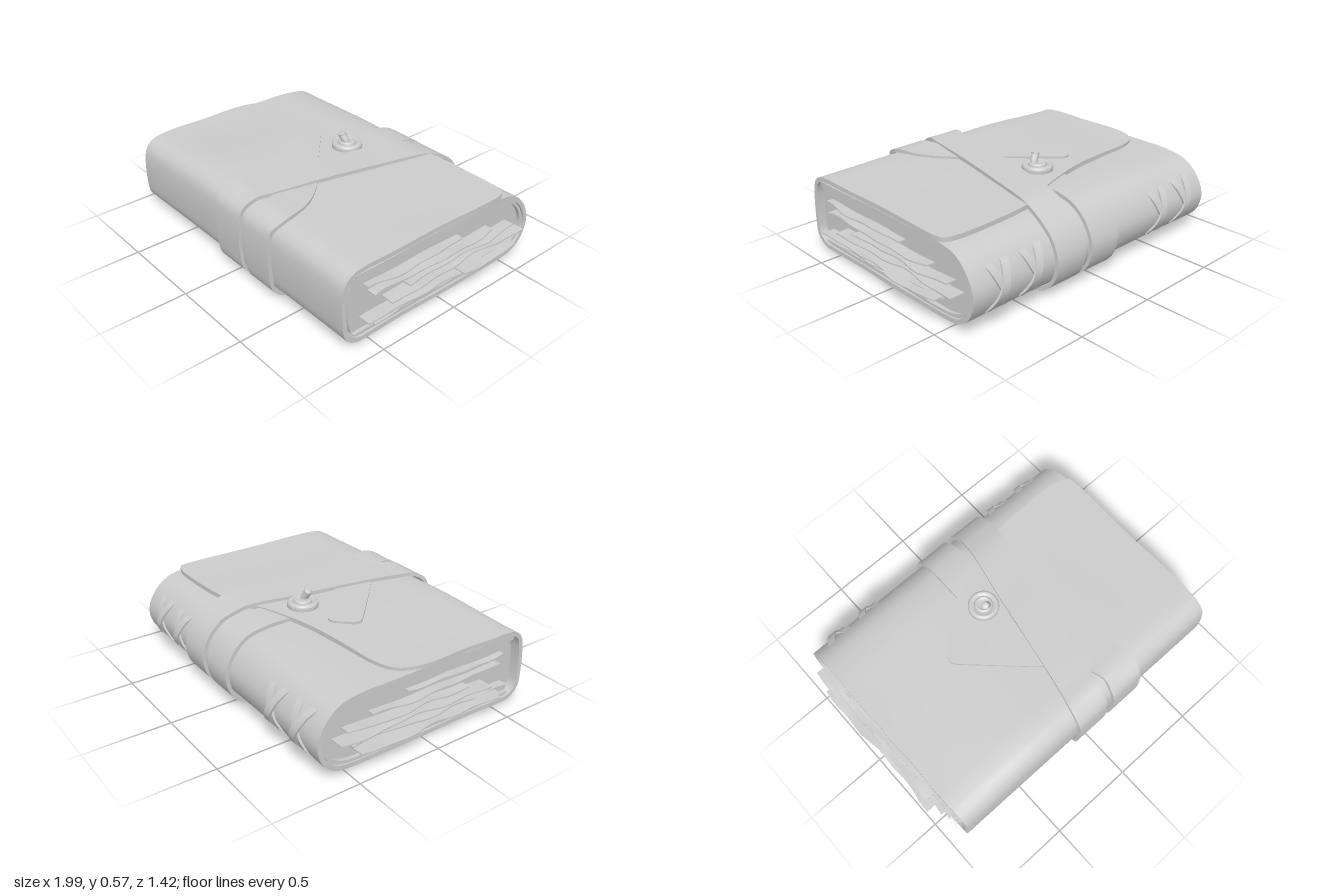
import * as THREE from 'three';
import { toCreasedNormals } from 'three/addons/utils/BufferGeometryUtils.js';

const V = (x, y, z) => new THREE.Vector3(x, y, z);
const { lerp, smoothstep } = THREE.MathUtils;
const material = new THREE.MeshStandardMaterial({ color: 0xcccccc });

function add(parent, name, geometry) {
  const mesh = new THREE.Mesh(geometry, material);
  mesh.name = name;
  parent.add(mesh);
  return mesh;
}

// Thickened sheet: f(u, v) gives its middle surface, thickness is added along the normal
function slab(f, nu, nv, thickness) {
  const grid = [], pos = [], idx = [], count = (nu + 1) * (nv + 1);
  const id = (i, j) => i * (nv + 1) + j;
  for (let i = 0; i <= nu; i++) for (let j = 0; j <= nv; j++) grid.push(f(i / nu, j / nv));
  for (const side of [1, -1]) {
    for (let i = 0; i <= nu; i++) for (let j = 0; j <= nv; j++) {
      const du = grid[id(Math.min(i + 1, nu), j)].clone().sub(grid[id(Math.max(i - 1, 0), j)]);
      const dv = grid[id(i, Math.min(j + 1, nv))].clone().sub(grid[id(i, Math.max(j - 1, 0))]);
      const n = dv.cross(du).normalize();
      pos.push(...grid[id(i, j)].clone().addScaledVector(n, side * thickness / 2).toArray());
    }
  }
  const quad = (a, b, c, d) => idx.push(a, b, c, a, c, d);
  const rim = (a, b) => quad(a, b, b + count, a + count);
  for (let i = 0; i < nu; i++) {
    for (let j = 0; j < nv; j++) {
      const a = id(i, j), b = id(i + 1, j), c = id(i + 1, j + 1), d = id(i, j + 1);
      quad(a, d, c, b);
      quad(a + count, b + count, c + count, d + count);
    }
    rim(id(i, 0), id(i + 1, 0));
    rim(id(i + 1, nv), id(i, nv));
  }
  for (let j = 0; j < nv; j++) {
    rim(id(0, j + 1), id(0, j));
    rim(id(nu, j), id(nu, j + 1));
  }
  const g = new THREE.BufferGeometry();
  g.setAttribute('position', new THREE.Float32BufferAttribute(pos, 3));
  g.setIndex(idx);
  return toCreasedNormals(g, 0.8);
}

// Smooth side profile from [z, y] pairs
function profileCurve(points) {
  const curve = new THREE.CatmullRomCurve3(points.map(([z, y]) => V(0, y, z)));
  curve.arcLengthDivisions = 600;
  return curve;
}

// Flat band following a path wrapped around the book
function band(points, halfWidth, thickness, segments) {
  const curve = new THREE.CatmullRomCurve3(points);
  curve.arcLengthDivisions = 1000;
  return slab((u, v) => {
    const t = curve.getTangentAt(u);
    const n = V(1, 0, 0).cross(V(0, t.y, t.z)).normalize();
    const w = t.clone().cross(n).normalize();
    return curve.getPointAt(u).addScaledVector(w, (v * 2 - 1) * halfWidth(u));
  }, segments, 4, thickness);
}

// Wrapped cover: top board, spine, bottom, front, then the flap with its curved edge
function coverGeometry() {
  const body = profileCurve([
    [0.6, 0.423], [0.2, 0.425], [-0.2, 0.428], [-0.42, 0.425], [-0.54, 0.4], [-0.625, 0.325],
    [-0.667, 0.22], [-0.64, 0.12], [-0.58, 0.062], [-0.48, 0.039], [0, 0.039], [0.5, 0.039],
    [0.6, 0.047], [0.653, 0.09], [0.668, 0.17], [0.668, 0.34], [0.65, 0.41], [0.6, 0.449], [0.5, 0.461],
  ]);
  const edge = new THREE.CatmullRomCurve3([
    [-0.9, 0.02], [-0.885, -0.08], [-0.84, -0.165], [-0.74, -0.212], [-0.5, -0.238], [-0.2, -0.28],
    [0.08, -0.36], [0.25, -0.44], [0.36, -0.47], [0.6, -0.483], [0.83, -0.475], [0.885, -0.45], [0.9, -0.4],
  ].map(([x, z]) => V(x, 0, z)));
  return slab((u, v) => {
    const e = edge.getPoint(v), k = 0.8;
    const p = u <= k ? body.getPointAt(u / k) : V(0, 0, lerp(0.5, e.z, (u - k) / (1 - k)));
    if (u > k) p.y = 0.461 + (p.z - 0.5) * 0.006;
    p.x = e.x + 0.004 * Math.sin(u * 40) * e.x;
    // the flap sags towards both ends, more on the right end
    const sag = 0.02 * smoothstep(-e.x, 0.25, 0.85) + 0.007 * smoothstep(e.x, 0.3, 0.7);
    p.y -= sag * (p.y / 0.46) ** 2 * (u > 0.5 ? 1 : 0.5);
    p.y += 0.002 * Math.sin(e.x * 6 + 1) * Math.cos(p.z * 5);
    return p;
  }, 130, 48, 0.026);
}

// Inner lining hugging the pages, open at the front
function liningGeometry() {
  const curve = profileCurve([
    [0.61, 0.397], [0, 0.4], [-0.42, 0.4], [-0.53, 0.378], [-0.605, 0.31], [-0.643, 0.22],
    [-0.617, 0.13], [-0.565, 0.082], [-0.48, 0.059], [0, 0.059], [0.6, 0.062],
  ]);
  return slab((u, v) => curve.getPointAt(u).setX(lerp(-0.89, 0.89, v)), 70, 6, 0.018);
}

// Strap: starts under the flap, goes round twice and ends in a diagonal tab
function strapGeometry() {
  const ring = [
    [-0.57, 0.415], [-0.655, 0.335], [-0.697, 0.22], [-0.67, 0.11], [-0.6, 0.04], [-0.48, 0.013],
    [0, 0.013], [0.5, 0.013], [0.62, 0.023], [0.68, 0.08], [0.698, 0.17], [0.698, 0.34], [0.678, 0.43],
  ];
  const loop = x => ring.map(([z, y]) => V(x, y, z));
  const points = [
    V(0, 0.447, -0.25), V(0, 0.447, -0.44), ...loop(0.005),
    V(0.02, 0.481, 0.6), V(0.05, 0.488, 0.48), V(0.115, 0.488, 0.15), V(0.175, 0.479, -0.15),
    V(0.235, 0.469, -0.42), V(0.25, 0.445, -0.505), ...loop(0.26),
    V(0.275, 0.474, 0.6), V(0.235, 0.477, 0.46), V(0.125, 0.475, 0.32), V(0, 0.473, 0.21),
    V(-0.15, 0.473, 0.07), V(-0.34, 0.47, -0.11),
  ];
  const halfWidth = u => {
    const d = Math.min((1 - u) / 0.008, 1), taper = Math.min((1 - u) / 0.1, 1);
    return (0.094 + 0.008 * taper) * (0.6 + 0.4 * Math.sqrt(1 - (1 - d) ** 2));
  };
  return band(points, halfWidth, 0.022, 420);
}

// Page block with a rounded spine
function pagesGeometry() {
  const s = new THREE.Shape();
  s.moveTo(-0.5, 0.066);
  s.lineTo(0.5, 0.066);
  s.bezierCurveTo(0.68, 0.1, 0.68, 0.35, 0.5, 0.39);
  s.lineTo(-0.6, 0.39);
  s.quadraticCurveTo(-0.655, 0.22, -0.6, 0.066);
  const g = new THREE.ExtrudeGeometry(s, { depth: 1.74, bevelEnabled: false, curveSegments: 16 });
  g.rotateY(Math.PI / 2).translate(-0.87, 0, 0);
  return toCreasedNormals(g, 0.6);
}

// Loose sheet with a slightly ragged, wavy outer edge
function sheetGeometry(side, y0, y1, z0, z1, reach, k) {
  return slab((u, v) => {
    const z = lerp(z0, z1, u), out = side > 0 ? v : 1 - v;
    const ragged = 0.01 * Math.sin(z * 8 + k * 2) + 0.005 * Math.sin(z * 23 + k);
    const x = side * lerp(0.8, reach - 0.013 + ragged, out);
    return V(x, lerp(y0, y1, u) + out * 0.006 * Math.sin(z * 15 + k * 1.7), z);
  }, 40, 3, 0.007);
}

export function createModel() {
  const model = new THREE.Group();
  model.name = 'journal';
  add(model, 'cover', coverGeometry());
  add(model, 'lining', liningGeometry());
  add(model, 'pages', pagesGeometry());
  add(model, 'strap', strapGeometry());

  // Loose sheets: front and back height, front and back z, reach at the left end and the right end
  const sheets = new THREE.Group();
  sheets.name = 'looseSheets';
  model.add(sheets);
  [
    [0.33, 0.33, 0.53, -0.13, 0.935, 0.92], [0.28, 0.283, 0.5, -0.36, 0.945, 0.93],
    [0.228, 0.25, 0.27, -0.52, 0.945, 0.945], [0.203, 0.208, 0.4, -0.58, 0.96, 0.965],
    [0.142, 0.165, 0.55, -0.49, 0.965, 0.94], [0.11, 0.105, 0.5, -0.36, 0.94, 0.945],
  ].forEach(([y0, y1, z0, z1, left, right], k) => {
    add(sheets, 'leftSheet', sheetGeometry(1, y0, y1, z0, z1, left, k));
    add(sheets, 'rightSheet', sheetGeometry(-1, y0, y1, z0, z1, right, k + 3));
  });
  add(sheets, 'longSheet', sheetGeometry(-1, 0.135, 0.14, 0.44, -0.48, 0.995, 5));
  add(sheets, 'longSheet', sheetGeometry(1, 0.16, 0.168, -0.08, -0.49, 1, 5));

  // Crossed lacing on the spine
  const lacing = new THREE.Group();
  lacing.name = 'spineLacing';
  model.add(lacing);
  const lace = [[-0.605, 0.355], [-0.652, 0.31], [-0.682, 0.25], [-0.688, 0.2], [-0.67, 0.145], [-0.635, 0.095]];
  for (const x of [-0.73, -0.505, 0.495, 0.715]) for (const dir of [1, -1]) {
    const points = lace.map(([z, y], i) => {
      const bulge = Math.sin(i / 5 * Math.PI) * (dir > 0 ? 0.011 : 0.001);
      return V(x + dir * lerp(-0.06, 0.06, i / 5), y, z - bulge);
    });
    add(lacing, 'lace', band(points, () => 0.023, 0.012, 20));
  }

  // Coiled button with a leaning knot
  const button = new THREE.Group();
  button.name = 'button';
  button.position.set(-0.03, 0.463, -0.165);
  model.add(button);
  const profile = [
    [0, 0], [0.078, 0], [0.088, 0.014], [0.086, 0.032], [0.074, 0.041], [0.06, 0.037], [0.053, 0.034],
    [0.05, 0.044], [0.04, 0.05], [0.028, 0.045], [0, 0.042],
  ].map(p => new THREE.Vector2(...p));
  add(button, 'buttonDisc', new THREE.LatheGeometry(new THREE.SplineCurve(profile).getPoints(40), 32));
  const post = new THREE.CatmullRomCurve3([V(0.016, 0.03, 0.014), V(0.008, 0.055, 0.02), V(-0.006, 0.078, 0.026), V(-0.012, 0.09, 0.028)]);
  add(button, 'buttonKnot', new THREE.TubeGeometry(post, 12, 0.022, 12));
  const cap = add(button, 'knotTip', new THREE.SphereGeometry(0.024, 12, 8));
  cap.scale.y = 0.5;
  cap.position.copy(post.getPoint(1));
  cap.rotation.set(0.2, 0, 0.5);
  return model;
}
